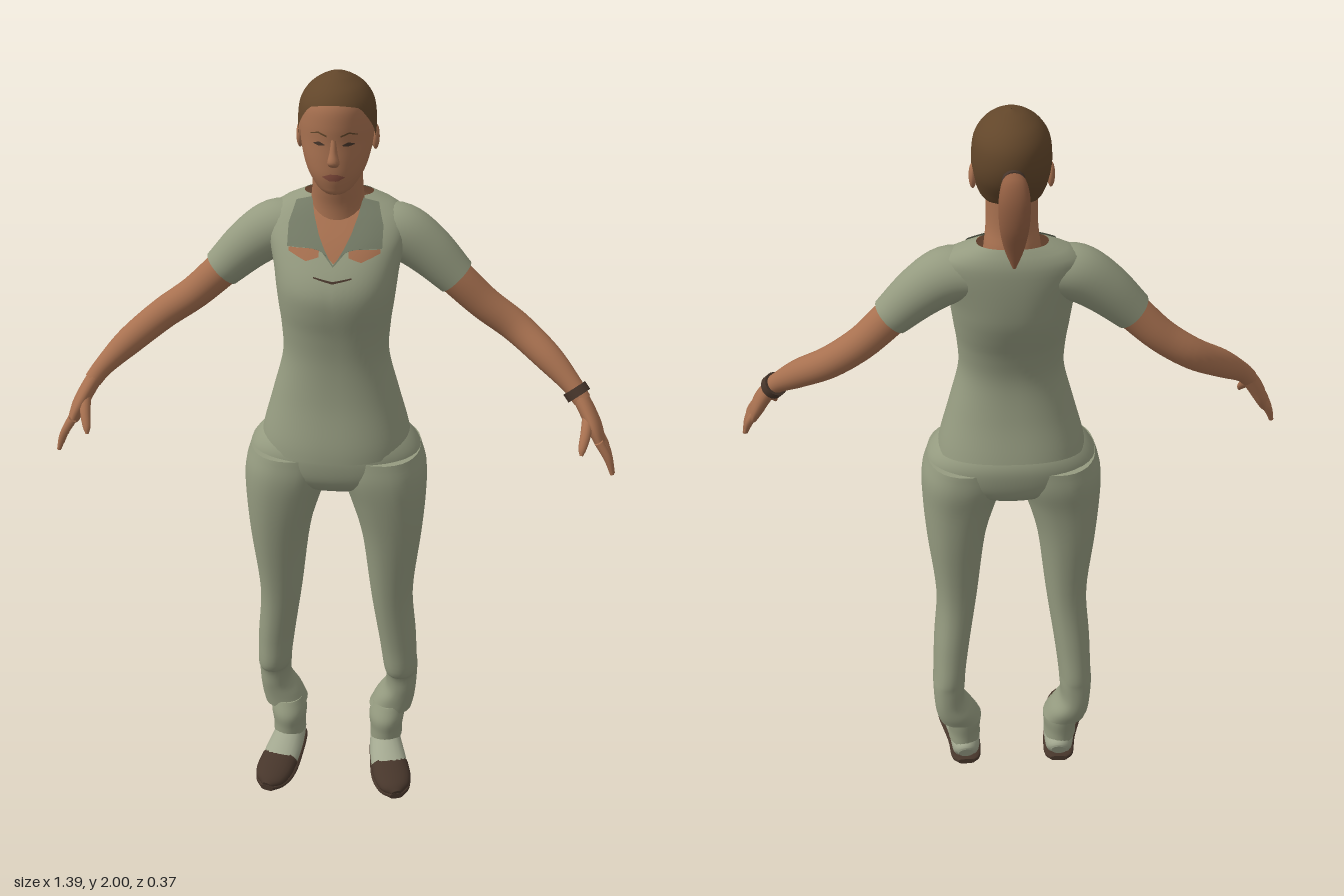
import * as THREE from 'three';

const mat = (name, color) => Object.assign(new THREE.MeshStandardMaterial({ color, side: THREE.DoubleSide }), { name });
const V = (x, y, z) => new THREE.Vector3(x, y, z);
const { lerp, clamp } = THREE.MathUtils;

// Point of a rounded-square section at angle a; n = 2 is an ellipse
function sectionPoint(a, n) {
  const c = Math.cos(a), s = Math.sin(a), p = 2 / n;
  return [Math.sign(c) * Math.abs(c) ** p, Math.sign(s) * Math.abs(s) ** p];
}

// Rows are [x, y, z, halfWidth, halfDepth, squareness]; resample them smoothly
function smooth(rows, count) {
  const pos = new THREE.CatmullRomCurve3(rows.map(r => V(r[0], r[1], r[2])), false, 'catmullrom');
  const rad = new THREE.CatmullRomCurve3(rows.map(r => V(r[3], r[4], r[5] ?? 2)), false, 'catmullrom');
  return Array.from({ length: count + 1 }, (_, i) => {
    const p = pos.getPoint(i / count), q = rad.getPoint(i / count);
    return [p.x, p.y, p.z, q.x, q.y, q.z];
  });
}

// Skin a list of closed rings, optionally with flat end caps
function skinRings(rings, caps) {
  const n = rings[0].length, verts = rings.flat(), index = [];
  for (let i = 0; i < rings.length - 1; i++) {
    for (let j = 0; j < n; j++) {
      const a = i * n + j, b = i * n + (j + 1) % n;
      index.push(a, a + n, b, b, a + n, b + n);
    }
  }
  if (caps) [rings[0], rings[rings.length - 1]].forEach((ring, end) => {
    const base = verts.length, mid = V(0, 0, 0);
    ring.forEach(p => { mid.addScaledVector(p, 1 / n); verts.push(p); });
    verts.push(mid);
    for (let j = 0; j < n; j++) {
      const a = base + j, b = base + (j + 1) % n;
      index.push(...(end ? [a, base + n, b] : [a, b, base + n]));
    }
  });
  const geo = new THREE.BufferGeometry().setFromPoints(verts);
  geo.setIndex(index);
  geo.computeVertexNormals();
  return geo;
}

// Tube of changing section along a path; ref is the direction of its half width
function limb(rows, ref, flat = false, seg = 20, steps = 5) {
  const d = smooth(rows, (rows.length - 1) * steps);
  return skinRings(d.map((r, i) => {
    const a = d[Math.max(i - 1, 0)], b = d[Math.min(i + 1, d.length - 1)];
    const t = flat ? V(0, 1, 0) : V(b[0] - a[0], b[1] - a[1], b[2] - a[2]).normalize();
    const u = ref.clone().addScaledVector(t, -ref.dot(t)).normalize(), v = u.clone().cross(t);
    return Array.from({ length: seg }, (_, j) => {
      const [c, s] = sectionPoint(j / seg * Math.PI * 2, r[5]);
      return V(r[0], r[1], r[2]).addScaledVector(u, c * r[3]).addScaledVector(v, s * r[4]);
    });
  }), true);
}

// Section of an upright body at height y
function at(body, y) {
  let i = 0;
  while (i < body.length - 2 && body[i + 1][1] < y) i++;
  const t = clamp((y - body[i][1]) / (body[i + 1][1] - body[i][1]), 0, 1);
  return body[i].map((v, k) => lerp(v, body[i + 1][k], t));
}

// Upright shell whose lower and upper edges vary round the body
function shell(body, low, high, scale = 1, seg = 64, steps = 36) {
  return skinRings(Array.from({ length: steps + 1 }, (_, i) => Array.from({ length: seg }, (_, j) => {
    const a = j / seg * Math.PI * 2, s = Math.sin(a), c = Math.cos(a);
    const y = lerp(low(s, c), high(s, c), i / steps), r = at(body, y), p = sectionPoint(a, r[5]);
    return V(p[0] * r[3] * scale, y, r[2] + p[1] * r[4] * scale);
  })), false);
}

// Thin strip between two lines, laid on the front of a body
function decal(body, upper, lower, side = 1, lift = 0.004) {
  const fine = line => line.flatMap((p, i) => i === line.length - 1 ? [p] :
    [0, 0.25, 0.5, 0.75].map(t => [lerp(p[0], line[i + 1][0], t), lerp(p[1], line[i + 1][1], t)]));
  const A = fine(upper), B = fine(lower), pts = [], index = [], across = 5;
  A.forEach((a, i) => {
    for (let k = 0; k < across; k++) {
      const x = lerp(a[0], B[i][0], k / (across - 1)), y = lerp(a[1], B[i][1], k / (across - 1)), r = at(body, y);
      const q = Math.max(0, 1 - Math.abs(x / r[3]) ** r[5]) ** (1 / r[5]);
      pts.push(V(x * side, y, r[2] + r[4] * q + lift));
      const n = pts.length - 1;
      if (i && k) {
        const [d, e, f] = [n - across - 1, n - 1, n - across];
        index.push(...(side > 0 ? [d, e, f, f, e, n] : [d, f, e, f, n, e]));
      }
    }
  });
  const geo = new THREE.BufferGeometry().setFromPoints(pts);
  geo.setIndex(index);
  geo.computeVertexNormals();
  return geo;
}

export function createModel() {
  const model = new THREE.Group();
  model.name = 'woman';
  const sage = mat('sage cloth', 0x959b80), collarCloth = mat('shaded collar cloth', 0x747b66);
  const skin = mat('skin', 0xa87150), hair = mat('hair', 0x62462a), tailHair = mat('ponytail hair', 0x935f42);
  const shoeCloth = mat('shoe upper', 0xa2a78f), dark = mat('dark brown', 0x47362b), lip = mat('lips', 0x8b5040);
  const X = V(1, 0, 0), Z = V(0, 0, 1);
  const add = (name, geo, m) => {
    const mesh = new THREE.Mesh(geo, m);
    mesh.name = name;
    model.add(mesh);
    return mesh;
  };

  // Shirt profile: height, half width, front z, back z
  const torso = smooth([
    [1.04, .19, .162, -.126], [1.1, .186, .157, -.123], [1.21, .157, .135, -.092], [1.315, .131, .127, -.076],
    [1.395, .133, .133, -.087], [1.45, .14, .143, -.104], [1.5, .146, .146, -.118], [1.54, .151, .132, -.123],
    [1.58, .16, .105, -.125], [1.62, .169, .072, -.125], [1.66, .162, .032, -.122], [1.685, .125, .005, -.113],
    [1.705, .075, -.015, -.1],
  ].map(([y, w, f, b]) => [0, y, (f + b) / 2, w, (f - b) / 2, 2.3]), 96);
  const neckline = (s, c) => s < 0 ? 1.702 : lerp(1.578, 1.702, clamp(Math.abs(c) / .62, 0, 1));
  add('shirt', shell(torso, s => s > 0 ? 1.08 - .015 * s : 1.08 - .03 * s, neckline), sage);
  add('chest', shell(torso, () => 1.5, () => 1.7, .955), skin);
  add('shirtFrontSeam', decal(torso, [[-.045, 1.553], [0, 1.545], [.045, 1.553]], [[-.045, 1.55], [0, 1.54], [.045, 1.55]]), dark);

  // Neck and head
  add('neck', limb([[0, 1.6, -.03, .075, .065], [0, 1.68, -.03, .066, .06], [0, 1.735, -.018, .06, .057], [0, 1.82, -.01, .06, .06]], X, true, 28), skin);
  const head = smooth([
    [1.733, .05, .004, .004], [1.74, .047, .028, .034], [1.755, .038, .046, .05], [1.785, .02, .066, .075],
    [1.82, .007, .078, .088], [1.86, -.006, .085, .099], [1.9, -.01, .086, .104], [1.94, -.01, .08, .098],
    [1.97, -.01, .061, .077], [1.99, -.01, .034, .043], [1.997, -.01, .016, .02], [2, -.01, .001, .001],
  ].map(([y, z, w, d]) => [0, y, z, w, d, 2]), 88);
  add('head', shell(head, () => 1.733, () => 1.96), skin);
  const line = [[-1, 1.785], [-.4, 1.8], [-.1, 1.85], [.15, 1.862], [.5, 1.905], [.75, 1.94], [1, 1.95]];
  const hairline = s => {
    const i = Math.max(1, line.findIndex(p => p[0] >= s - 1e-6));
    return lerp(line[i - 1][1], line[i][1], (s - line[i - 1][0]) / (line[i][0] - line[i - 1][0]));
  };
  add('hairCap', shell(head, hairline, () => 2, 1.05), hair);
  add('nose', limb([[0, 1.872, .09, .006, .006], [0, 1.845, .094, .009, .01], [0, 1.822, .098, .014, .013], [0, 1.81, .09, .01, .008]], X, true, 14), skin);
  add('lips', decal(head, [[-.026, 1.787], [-.008, 1.794], [.008, 1.794], [.026, 1.787]], [[-.026, 1.786], [-.009, 1.777], [.009, 1.777], [.026, 1.786]], 1, .003), lip);

  // Ponytail and its band
  add('ponytailBand', limb([[0, 1.88, -.108, .026, .026], [0, 1.883, -.135, .026, .026]], X), dark);
  add('ponytail', limb([[0, 1.882, -.125, .018, .016], [0, 1.888, -.145, .028, .02], [0, 1.85, -.16, .035, .022],
    [0, 1.79, -.16, .033, .022], [0, 1.73, -.15, .022, .015], [0, 1.682, -.148, .004, .004]], X), tailHair);

  // Seat of the trousers
  add('trouserSeat', limb([[0, .95, .02, .06, .06], [0, .965, .02, .13, .1], [0, 1, .022, .215, .125], [0, 1.05, .021, .219, .133],
    [0, 1.09, .02, .195, .128], [0, 1.13, .02, .15, .105]].map(r => [...r, 2.3]), X, true, 40), sage);

  for (const s of [1, -1]) {
    const side = s > 0 ? 'left' : 'right';
    const part = (name, rows, ref, m, flat, seg) =>
      add(side + name, limb(rows.map(([x, ...r]) => [x * s, ...r]), ref, flat, seg), m);
    const patch = (name, up, low, body, m, lift) => add(side + name, decal(body, up, low, s, lift), m);

    // Face details
    patch('Eye', [[.02, 1.862], [.033, 1.868], [.047, 1.863]], [[.02, 1.86], [.033, 1.858], [.047, 1.861]], head, dark, .003);
    patch('Eyebrow', [[.016, 1.884], [.035, 1.891], [.054, 1.884]], [[.016, 1.88], [.035, 1.887], [.054, 1.882]], head, hair, .003);
    const ear = add(side + 'Ear', new THREE.SphereGeometry(1, 16, 12), skin);
    ear.scale.set(.009, .03, .018);
    ear.position.set(s * .088, 1.848, -.02);

    // Open collar and the bare patch below it
    patch('Collar', [[.06, 1.7], [.052, 1.67], [.038, 1.635], [.024, 1.61], [.012, 1.592], [0, 1.578]],
      [[.098, 1.69], [.112, 1.65], [.112, 1.606], [.07, 1.608], [.035, 1.61], [0, 1.574]], torso, collarCloth, .007);
    patch('ChestPatch', [[.035, 1.609], [.07, 1.607], [.108, 1.605]], [[.035, 1.592], [.065, 1.582], [.108, 1.597]], torso, skin, .005);

    // Sleeve, arm and hand
    part('Sleeve', [[.09, 1.615, -.045, .064, .06], [.15, 1.608, -.042, .066, .068], [.215, 1.565, -.04, .06, .062], [.287, 1.497, -.037, .05, .05]], Z, sage, false, 28);
    part('Arm', [[.24, 1.54, -.037, .045, .045], [.29, 1.492, -.037, .044, .044], [.36, 1.427, -.04, .042, .041], [.44, 1.37, -.033, .039, .039],
      [.52, 1.312, .01, .036, .035], [.58, 1.26, .05, .026, .025], [.607, 1.228, .069, .025, .022]], Z, skin, false, 24);
    part('Palm', [[.6, 1.238, .064, .024, .02], [.622, 1.203, .08, .034, .02], [.64, 1.17, .094, .041, .019], [.656, 1.135, .105, .038, .014]], Z, skin);
    for (let i = 0; i < 4; i++) {
      const z = .075 + .021 * i, reach = [.82, 1, 1.05, .95][i];
      part('Finger' + (i + 1), [[.65, 1.15, z, .011, .011], [.65 + .025 * reach, 1.15 - .04 * reach, z + .007, .0105, .01],
        [.65 + .04 * reach, 1.15 - .084 * reach, z + .014, .005, .005]], Z, skin, false, 10);
    }
    part('Thumb', [[.622, 1.2, .095, .014, .014], [.617, 1.17, .132, .013, .012], [.61, 1.143, .157, .01, .009], [.608, 1.127, .167, .004, .004]], X, skin, false, 12);

    // Trouser leg with a fold at the shin, and the cuff below
    part('TrouserLeg', [[.15, .16, -.045, .06, .056], [.163, .195, -.049, .055, .06], [.179, .24, -.048, .043, .062], [.179, .3, -.043, .045, .066],
      [.176, .34, -.02, .046, .089], [.167, .44, -.008, .05, .087], [.15, .6, .01, .056, .09], [.147, .8, .021, .078, .112],
      [.135, .92, .026, .098, .124], [.12, 1, .024, .112, .132], [.11, 1.06, .022, .106, .127]].map(r => [...r, 2.3]), X, sage, true, 32);
    part('TrouserCuff', [[.14, .068, -.028, .046, .06], [.14, .1, -.027, .046, .06], [.141, .14, -.028, .05, .062], [.146, .18, -.038, .045, .052]], X, sage, true, 24);

    // Shoe: cloth upper, dark toe cap and sole
    part('ShoeUpper', [[.135, .04, -.088, .022, .024], [.136, .045, -.07, .038, .04], [.14, .046, -.01, .045, .043], [.15, .041, .05, .05, .036], [.162, .032, .105, .051, .027]], X, shoeCloth);
    part('ShoeToe', [[.157, .035, .082, .053, .031], [.168, .029, .125, .052, .026], [.177, .023, .16, .04, .02], [.183, .018, .18, .014, .01]], X, dark);
    part('ShoeSole', [[.135, .009, -.092, .024, .009], [.136, .009, -.07, .042, .009], [.142, .009, 0, .047, .009], [.162, .009, .1, .055, .009],
      [.176, .009, .155, .043, .009], [.183, .009, .181, .018, .009]].map(r => [...r, 3]), X, dark);
  }

  // Bracelet on the left wrist
  add('bracelet', limb([[.586, 1.253, .054, .032, .031], [.599, 1.237, .063, .032, .031]], Z), dark);
  return model;
}
